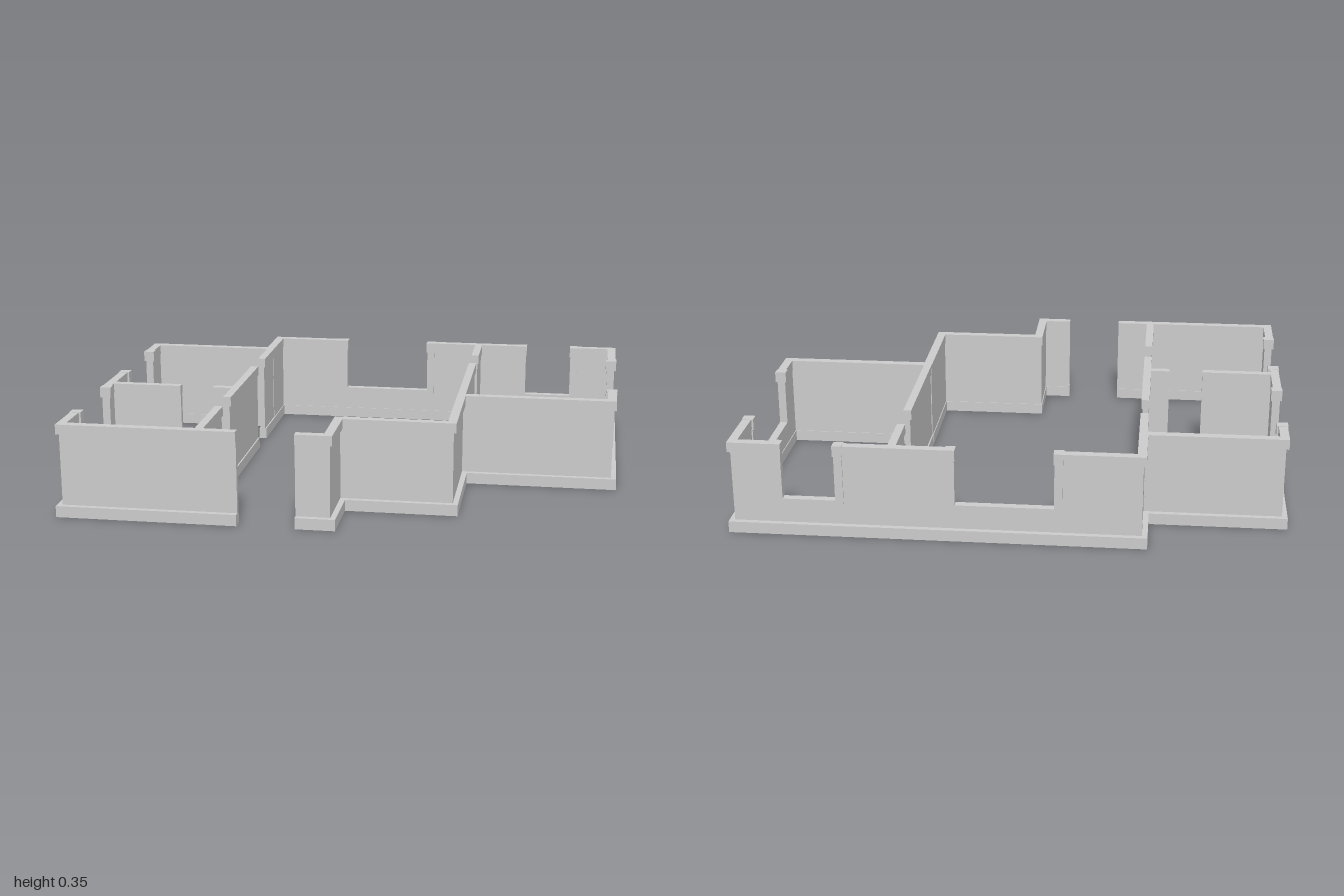
import * as THREE from 'three';

const material = new THREE.MeshStandardMaterial({ color: 0xcccccc, flatShading: true });

// Heights of the bands: skirting, window sill, wall top, cap top
const BASE = 0.042, SILL = 0.12, WALL = 0.308, TOP = 0.345;

// Outer footprint as [x, z], from one side of the front door round to the other
const outline = [
  [-0.125, 0.765], [0.02, 0.765], [0.02, 0.542], [0.432, 0.542], [0.432, 0.154], [1, 0.154],
  [1, -0.765], [-0.5, -0.765], [-0.5, -0.557], [-1, -0.557], [-1, 0.765], [-0.335, 0.765],
];

// Window openings: outline segment, then start and end in walking order
const windows = [
  [5, [1, -0.03], [1, -0.5]],
  [6, [0.8, -0.765], [0.61, -0.765]],
  [6, [0.182, -0.765], [-0.17, -0.765]],
  [9, [-1, -0.385], [-1, -0.055]],
  [9, [-1, 0.225], [-1, 0.555]],
];

// Partition walls: x0, z0, x1, z1 along the centre line
const partitions = [
  [0.405, -0.74, 0.405, -0.525], [0.405, -0.39, 0.405, 0.13],
  [-0.472, -0.54, -0.472, -0.333], [-0.472, -0.2, -0.472, 0.295], [-0.472, 0.425, -0.472, 0.735],
  [-0.97, 0.143, -0.69, 0.143], [-0.56, 0.143, -0.472, 0.143],
];

// Unit direction of a path segment and the path shifted inwards with square corners
function direction(a, b) {
  const l = Math.hypot(b[0] - a[0], b[1] - a[1]);
  return [(b[0] - a[0]) / l, (b[1] - a[1]) / l];
}
function offset(path, d) {
  return path.map(([x, z], i) => {
    const near = [];
    if (i > 0) near.push(direction(path[i - 1], path[i]));
    if (i < path.length - 1) near.push(direction(path[i], path[i + 1]));
    for (const [dx, dz] of near) { x += dz * d; z -= dx * d; }
    return [x, z];
  });
}

// A band following a path, between two inward offsets and two heights
function band(parent, name, path, d0, d1, y0, y1) {
  const corners = [...offset(path, d0), ...offset(path, d1).reverse()];
  const shape = new THREE.Shape(corners.map(([x, z]) => new THREE.Vector2(x, -z)));
  const geometry = new THREE.ExtrudeGeometry(shape, { depth: y1 - y0, bevelEnabled: false });
  geometry.rotateX(-Math.PI / 2).translate(0, y0, 0);
  const mesh = new THREE.Mesh(geometry, material);
  mesh.name = name;
  parent.add(mesh);
}

export function createModel() {
  const model = new THREE.Group();
  model.name = 'floorPlanWalls';

  // Outer wall: continuous lower part, upper part broken by the windows
  const outer = new THREE.Group();
  outer.name = 'outerWall';
  model.add(outer);
  band(outer, 'skirting', outline, 0, 0.043, 0, BASE);
  band(outer, 'lowerWall', outline, 0.02, 0.04, BASE, SILL);

  const runs = [[]];
  outline.forEach((point, i) => {
    runs.at(-1).push(point);
    for (const [segment, a, b] of windows) {
      if (segment !== i) continue;
      runs.at(-1).push(a);
      runs.push([b]);
    }
  });
  for (const run of runs) {
    band(outer, 'upperWall', run, 0.02, 0.04, SILL, WALL);
    band(outer, 'wallCap', run, 0.01, 0.043, WALL, TOP);
  }

  // Window trim: sill strip, two jambs and the blocks above them
  for (const [, a, b] of windows) {
    const frame = new THREE.Group();
    frame.name = 'windowFrame';
    model.add(frame);
    const [dx, dz] = direction(a, b);
    const along = (p, t) => [p[0] + dx * t, p[1] + dz * t];
    band(frame, 'windowSill', [a, b], 0.015, 0.045, SILL, SILL + 0.014);
    for (const [p, t0, t1] of [[a, -0.03, 0], [b, 0, 0.03]]) {
      band(frame, 'windowJamb', [along(p, t0), along(p, t1)], 0.015, 0.045, SILL, WALL);
      band(frame, 'jambBlock', [along(p, t0 - 0.003), along(p, t1 + 0.003)], 0.008, 0.05, WALL - 0.003, TOP + 0.001);
    }
  }

  // Inner partitions with skirting and cap
  for (const [x0, z0, x1, z1] of partitions) {
    const wall = new THREE.Group();
    wall.name = 'partition';
    model.add(wall);
    const path = [[x0, z0], [x1, z1]];
    band(wall, 'partitionSkirting', path, -0.015, 0.015, 0, BASE);
    band(wall, 'partitionWall', path, -0.01, 0.01, BASE, WALL);
    band(wall, 'partitionCap', path, -0.015, 0.015, WALL, TOP);
  }
  return model;
}
